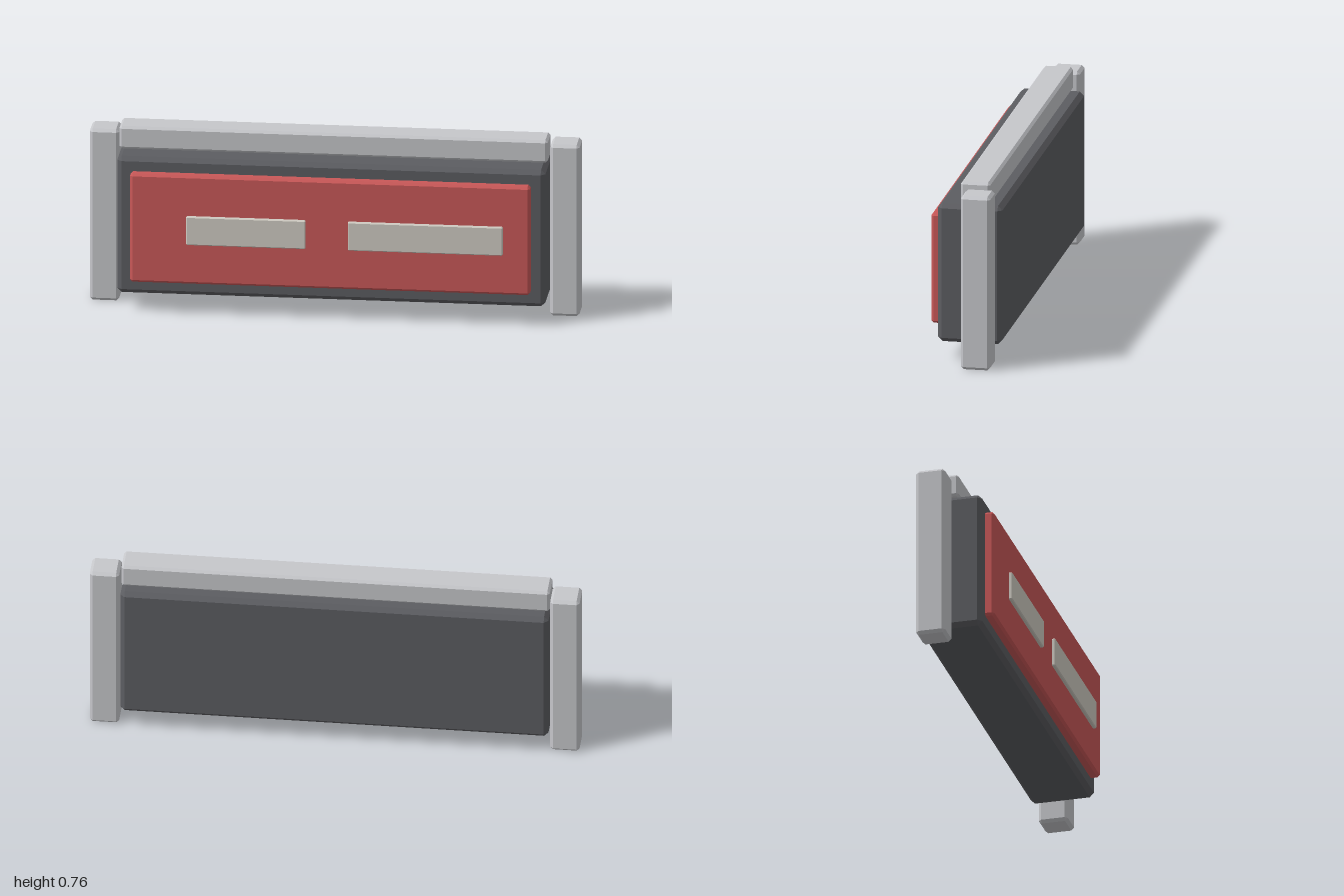
import * as THREE from 'three';
import { ConvexGeometry } from 'three/addons/geometries/ConvexGeometry.js';

// Box with flat chamfered edges and corners, given by its min and max corners
function chamferBox(min, max, c) {
  const half = max.map((v, i) => (v - min[i]) / 2);
  const points = [];
  for (const sx of [-1, 1]) for (const sy of [-1, 1]) for (const sz of [-1, 1]) {
    for (let face = 0; face < 3; face++) {
      const p = [sx, sy, sz].map((s, i) => s * (half[i] - (i === face ? 0 : c)));
      points.push(new THREE.Vector3(...p));
    }
  }
  const geometry = new ConvexGeometry(points);
  geometry.translate(...min.map((v, i) => (v + max[i]) / 2));
  return geometry;
}

export function createModel() {
  const group = new THREE.Group();
  const material = (color) => new THREE.MeshStandardMaterial({ color, flatShading: true });
  const metal = material(0xc6c7cb);
  const dark = material(0x5c5d61);
  const red = material(0xc95858);
  const pale = material(0xd0ccc3);

  const add = (name, min, max, chamfer, mat) => {
    const mesh = new THREE.Mesh(chamferBox(min, max, chamfer), mat);
    mesh.name = name;
    group.add(mesh);
  };

  // Main board and its raised front panel
  add('board', [-0.875, 0.075, -0.158], [0.873, 0.658, 0.108], 0.018, dark);
  add('frontPanel', [-0.818, 0.136, 0.09], [0.815, 0.599, 0.146], 0.01, red);

  // Pale strips on the panel
  add('rightStrip', [-0.587, 0.307, 0.135], [-0.1, 0.428, 0.16], 0.004, pale);
  add('leftStrip', [0.073, 0.307, 0.135], [0.705, 0.428, 0.16], 0.004, pale);

  // Rail along the top
  add('topRail', [-0.876, 0.66, -0.11], [0.873, 0.756, 0.012], 0.01, metal);

  // Upright posts at both ends
  add('rightPost', [-1, 0, -0.134], [-0.88, 0.732, -0.012], 0.012, metal);
  add('leftPost', [0.88, 0, -0.134], [1, 0.732, -0.012], 0.012, metal);

  return group;
}
